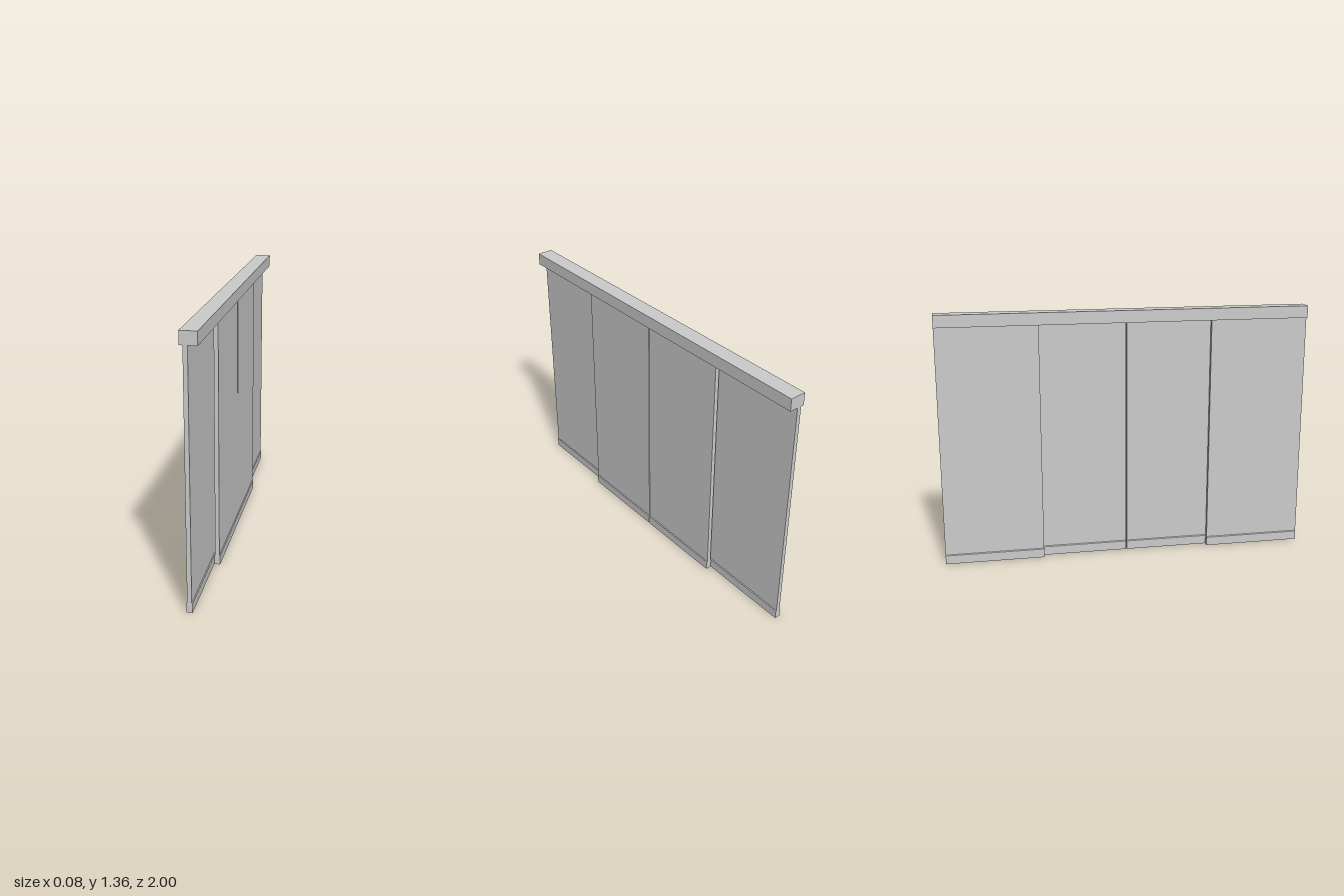
import * as THREE from 'three';

const material = new THREE.MeshStandardMaterial({ color: 0xcccccc, flatShading: true });
const RAIL_HEIGHT = 0.052, CHAMFER = 0.004, PANEL_TOP = 1.297;

function box(name, x0, x1, y0, y1, z0, z1) {
  const mesh = new THREE.Mesh(new THREE.BoxGeometry(x1 - x0, y1 - y0, z1 - z0), material);
  mesh.position.set((x0 + x1) / 2, (y0 + y1) / 2, (z0 + z1) / 2);
  mesh.name = name;
  return mesh;
}

// Bottom rail: a strip with chamfered upper edges, extruded along z
function bottomRail(x0, x1, z0, z1) {
  const shape = new THREE.Shape([
    [x0, 0], [x1, 0], [x1, RAIL_HEIGHT - CHAMFER], [x1 - CHAMFER, RAIL_HEIGHT],
    [x0 + CHAMFER, RAIL_HEIGHT], [x0, RAIL_HEIGHT - CHAMFER],
  ].map(([x, y]) => new THREE.Vector2(x, y)));
  const geometry = new THREE.ExtrudeGeometry(shape, { depth: z1 - z0, bevelEnabled: false });
  const mesh = new THREE.Mesh(geometry, material);
  mesh.position.z = z0;
  mesh.name = 'bottomRail';
  return mesh;
}

// Sliding panel hanging in one of the two tracks
function slidingPanel(name, [x0, x1], z0, z1) {
  const panel = new THREE.Group();
  panel.name = name;
  panel.add(box('panelSheet', x0 + CHAMFER, x1 - CHAMFER, RAIL_HEIGHT, PANEL_TOP, z0, z1));
  panel.add(bottomRail(x0, x1, z0, z1));
  return panel;
}

export function createModel() {
  const model = new THREE.Group();
  model.name = 'slidingPanelScreen';

  // Top track housing
  model.add(box('topTrack', -0.042, 0.042, 1.295, 1.36, -1, 1));

  // Outer panels on the right-hand track, centre pair on the left-hand track
  const outerTrack = [-0.029, 0.001], innerTrack = [0.002, 0.032];
  model.add(slidingPanel('frontOuterPanel', outerTrack, 0.467, 1));
  model.add(slidingPanel('frontCentrePanel', innerTrack, 0.009, 0.513));
  model.add(slidingPanel('backCentrePanel', innerTrack, -0.5, 0.004));
  model.add(slidingPanel('backOuterPanel', outerTrack, -1, -0.463));
  return model;
}
